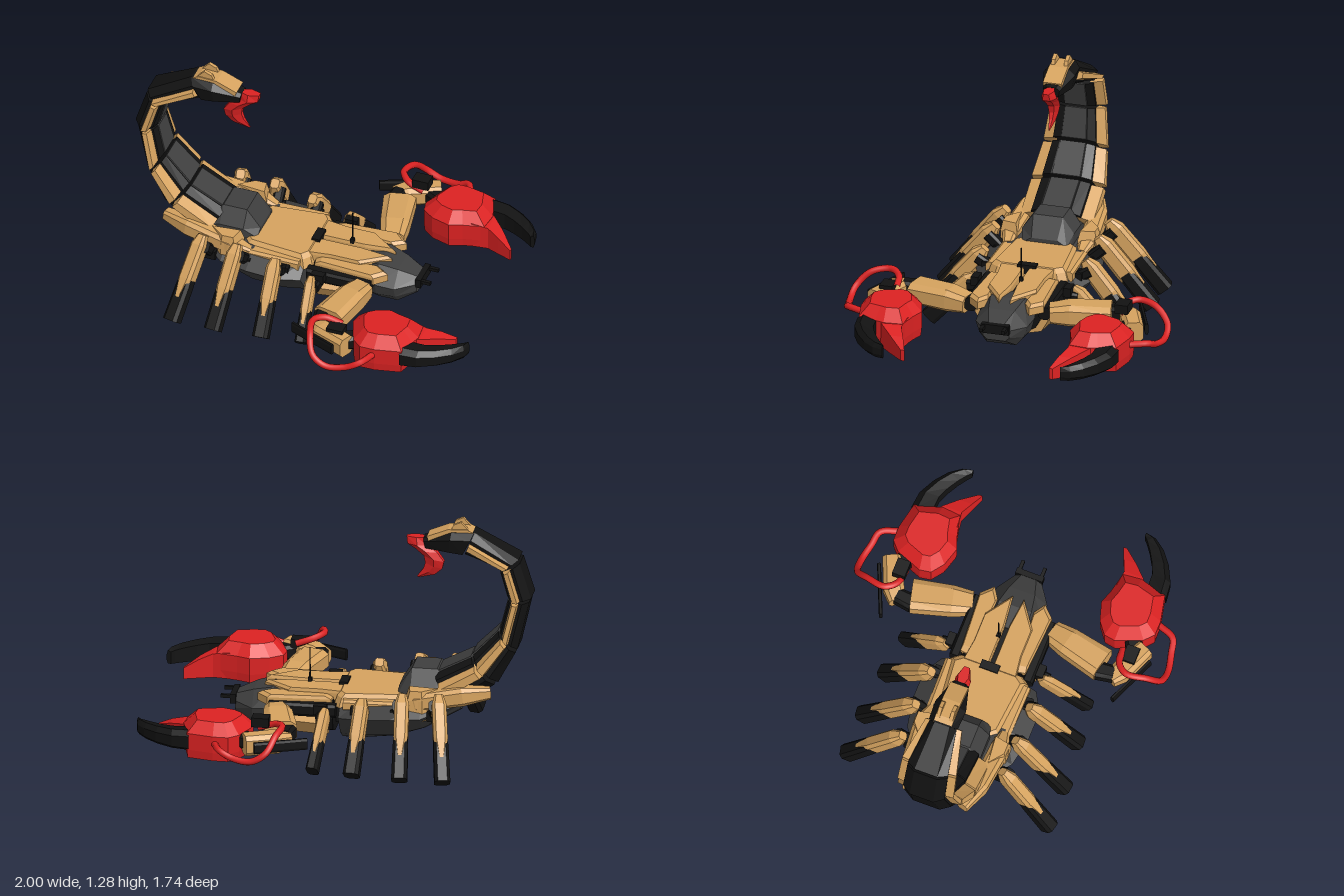
import * as THREE from 'three';

const mat = (name, color) => Object.assign(new THREE.MeshStandardMaterial({ color }), { name });
const V = (x, y, z) => new THREE.Vector3(x, y, z);

// Closed faceted solid through rings of equal point count, wound outward
function loft(rings) {
  const tris = [], n = rings[0].length;
  for (let r = 0; r + 1 < rings.length; r++) {
    for (let i = 0; i < n; i++) {
      const j = (i + 1) % n, a = rings[r], b = rings[r + 1];
      tris.push([a[i], a[j], b[j]], [a[i], b[j], b[i]]);
    }
  }
  const cap = (ring, flip) => {
    const c = ring.reduce((s, p) => s.add(p), V(0, 0, 0)).divideScalar(n);
    ring.forEach((p, i) => tris.push(flip ? [c, ring[(i + 1) % n], p] : [c, p, ring[(i + 1) % n]]));
  };
  cap(rings[0], true);
  cap(rings[rings.length - 1], false);
  const volume = tris.reduce((s, [a, b, c]) => s + a.dot(b.clone().cross(c)), 0);
  const pos = [];
  for (const [a, b, c] of tris) for (const p of volume < 0 ? [a, c, b] : [a, b, c]) pos.push(p.x, p.y, p.z);
  const g = new THREE.BufferGeometry();
  g.setAttribute('position', new THREE.Float32BufferAttribute(pos, 3));
  g.computeVertexNormals();
  return g;
}

// Plan outline [x, z] stacked at levels [y, scale about its middle]
function slab(outline, levels) {
  const n = outline.length;
  const cx = outline.reduce((s, p) => s + p[0], 0) / n, cz = outline.reduce((s, p) => s + p[1], 0) / n;
  return loft(levels.map(([y, k]) => outline.map(([x, z]) => V(cx + (x - cx) * k, y, cz + (z - cz) * k))));
}

// Mirrored half outline [x, z], for plates across the middle
const across = (half, levels) => slab([...half, ...half.map(([x, z]) => [x, -z]).reverse()], levels);

// Hull from stations [x, half section of [z, y]]
const hull = (stations) => loft(stations.map(([x, half]) =>
  [...half, ...half.map(([z, y]) => [-z, y]).reverse()].map(([z, y]) => V(x, y, z))));

// Chamfered beam along [x, y, z, width, height]
function beam(path) {
  const p = path.map((q) => V(q[0], q[1], q[2]));
  return loft(path.map(([, , , w, h], i) => {
    const t = p[Math.min(i + 1, p.length - 1)].clone().sub(p[Math.max(i - 1, 0)]).normalize();
    const side = t.clone().cross(V(0, 1, 0)).normalize(), up = side.clone().cross(t);
    return [[-1, -.6], [-.6, -1], [.6, -1], [1, -.6], [1, .6], [.6, 1], [-.6, 1], [-1, .6]].map(([a, b]) =>
      p[i].clone().addScaledVector(side, a * w / 2).addScaledVector(up, b * h / 2));
  }));
}

// Side outline [x, y] between two z planes
const plate = (pts, z0, z1) => loft([z0, z1].map((z) => pts.map(([x, y]) => V(x, y, z))));

export function createModel() {
  const root = new THREE.Group();
  root.name = 'scorpionMachine';
  const tan = mat('tan armour', 0xd6a35f), black = mat('black', 0x121212);
  const grey = mat('dark grey', 0x3f3f3f), red = mat('red', 0xdc2222);
  const add = (parent, name, geo, m) => {
    const mesh = new THREE.Mesh(geo, m);
    mesh.name = name;
    parent.add(mesh);
    return mesh;
  };
  const box = (parent, name, m, w, h, d, x, y, z) =>
    add(parent, name, new THREE.BoxGeometry(w, h, d), m).position.set(x, y, z);

  // Abdomen and front hull
  add(root, 'abdomen', hull([
    [-.64, [[.07, .27], [.12, .29], [.14, .32], [.1, .35]]],
    [-.45, [[.1, .165], [.2, .2], [.29, .28], [.2, .35]]],
    [-.3, [[.12, .12], [.22, .16], [.32, .28], [.2, .34]]],
    [-.13, [[.12, .1], [.22, .15], [.32, .27], [.2, .33]]],
    [-.02, [[.1, .09], [.18, .14], [.26, .25], [.18, .32]]]]), grey);
  add(root, 'chest', hull([
    [.02, [[.1, .12], [.17, .15], [.19, .22], [.16, .31]]],
    [.28, [[.08, .12], [.13, .15], [.17, .22], [.13, .31]]]]), black);
  add(root, 'head', hull([
    [.23, [[.06, .13], [.1, .17], [.12, .24], [.09, .32]]],
    [.35, [[.08, .12], [.13, .17], [.15, .24], [.09, .335]]],
    [.45, [[.08, .12], [.12, .17], [.14, .23], [.07, .31]]],
    [.55, [[.05, .18], [.07, .2], [.07, .24], [.04, .27]]]]), grey);
  box(root, 'spineJoint', black, .1, .12, .16, 0, .22, 0);
  box(root, 'mouthBar', black, .03, .05, .15, .56, .25, 0);

  // Top armour
  add(root, 'rearCarapace', across([[-.4, .1], [-.34, .17], [-.03, .2], [.0, .16]], [[.29, 1.08], [.34, 1], [.36, .9]]), tan);
  for (const s of [1, -1]) {
    add(root, 'frontCarapace', slab([[-.22, .07], [-.2, .13], [-.05, .15], [.1, .13], [.26, .13], [.4, .03], [.24, .012], [-.03, .012]]
      .map(([x, z]) => [x, z * s]), [[.3, 1], [.34, 1], [.355, .93]]), tan);
  }
  box(root, 'carapaceLatch', black, .045, .05, .1, -.015, .345, 0);
  add(root, 'hump', hull([
    [-.57, [[.13, .3], [.14, .38], [.07, .43]]], [-.51, [[.14, .3], [.14, .4], [.08, .485]]],
    [-.38, [[.14, .3], [.14, .4], [.08, .485]]], [-.31, [[.13, .3], [.12, .35], [.07, .38]]]]), grey);
  const antenna = add(root, 'antenna', new THREE.CylinderGeometry(.003, .005, .2, 6), black);
  antenna.position.set(.165, .44, -.02);
  box(root, 'antennaBase', black, .02, .03, .02, .165, .36, -.02);

  // Tail: each joint is [outer x, y, inner x, y, half width]
  const section = (c, pts) => pts.map(([d, z]) => V(c[0] + (c[2] - c[0]) * d, c[1] + (c[3] - c[1]) * d, z * c[4]));
  const segs = [
    [[-.62, .28, -.5, .46, .2], [-.81, .42, -.69, .56, .2]],
    [[-.83, .435, -.7, .575, .2], [-.92, .6, -.83, .71, .175]],
    [[-.93, .62, -.84, .725, .175], [-.99, .88, -.88, .885, .15]],
    [[-1, .9, -.88, .9, .155], [-.94, 1.09, -.84, 1.04, .15]],
    [[-.935, 1.11, -.835, 1.06, .15], [-.7, 1.24, -.65, 1.12, .1]]];
  segs.forEach((ends) => {
    const part = (name, pts, m) => add(tail, name, loft(ends.map((c) => section(c, pts))), m);
    const tail = new THREE.Group();
    tail.name = 'tailSegment';
    root.add(tail);
    const core = [[0, .42], [.3, .74], [.9, .66], [1, .42]];
    part('tailCore', [...core, ...core.map(([d, z]) => [d, -z]).reverse()], black);
    part('tailInnerPlate', [[.97, .4], [1.04, .38], [1.04, -.38], [.97, -.4]], grey);
    for (const s of [1, -1]) part('tailSidePlate', [[.42, .6 * s], [.5, s], [.72, .98 * s], [.85, .55 * s]], tan);
  });
  // Tail head
  add(root, 'tailHead', loft([
    [-.7, 1.24, -.64, 1.12, .08], [-.58, 1.235, -.57, 1.13, .085], [-.43, 1.19, -.44, 1.135, .045]]
    .map((c) => section(c, [[0, .6], [.3, 1], [1, .8], [1, -.8], [.3, -1], [0, -.6]]))), black);
  add(root, 'tailHeadCover', plate([[-.7, 1.235], [-.66, 1.255], [-.56, 1.25], [-.45, 1.205], [-.46, 1.18]], -.05, .05), tan);
  for (const z of [-.035, .035])
    add(root, 'tailHeadFin', plate([[-.68, 1.24], [-.63, 1.292], [-.59, 1.275], [-.57, 1.23]], z - .01, z + .01), tan);
  add(root, 'stinger', loft([
    [-.45, 1.188, -.34, 1.188, .03], [-.45, 1.145, -.345, 1.15, .042], [-.5, 1.105, -.385, 1.125, .04],
    [-.535, 1.055, -.43, 1.085, .034], [-.525, 1.015, -.437, 1.045, .026], [-.485, .98, -.425, 1.01, .018],
    [-.4, .958, -.392, .965, .004]].map((c) => section(c, [[0, .4], [.5, 1], [1, .5], [1, -.5], [.5, -1], [0, -.4]]))), red);

  for (const s of [1, -1]) {
    const half = new THREE.Group();
    half.name = s > 0 ? 'nearSide' : 'farSide';
    half.scale.z = s;
    root.add(half);

    // Legs: top x, foot x, top y, top z, foot z
    for (const [x0, x1, y, z0, z1] of [[-.55, -.615, .41, .28, .56], [-.36, -.39, .4, .28, .56],
      [-.15, -.135, .36, .275, .535], [.045, .075, .29, .265, .505]]) {
      const leg = new THREE.Group();
      leg.name = 'leg';
      half.add(leg);
      const at = (k, w, h) => [x0 + (x1 - x0) * k, y + (.045 - y) * k, z0 + (z1 - z0) * k, w, h];
      const w = x0 > 0 ? .055 : .075;
      add(leg, 'legArmour', beam([at(-.02, w * .6, .05), at(.1, w, .095), at(.5, w, .1), at(.75, w * .35, .085)]), tan);
      add(leg, 'lowerLeg', beam([at(.4, w * .9, .08), at(.6, w * 1.05, .085), at(1, w * 1.1, .09)]), black);
      add(leg, 'hip', beam([[x0 + .03, .26, .2, .05, .06], [x0 + .02, y - .04, z0 + .03, .055, .06]]), black);
      box(leg, 'hipBolt', black, .07, .05, .04, x0 + .03, .29, .25);
    }

    // Flank armour
    add(half, 'tailRootArmour', beam([[-.8, .4, .15, .06, .06], [-.66, .39, .19, .09, .1], [-.42, .35, .21, .1, .09], [-.32, .32, .2, .05, .05]]), tan);
    add(half, 'flankArmour', slab([[-.56, .18], [-.46, .26], [-.38, .26], [-.36, .16]], [[.26, 1], [.37, .95], [.42, .75]]), tan);
    add(half, 'sideArmour', beam([[-.36, .31, .19, .08, .06], [-.04, .31, .2, .07, .06]]), tan);
    add(half, 'sideRail', beam([[.0, .27, .2, .06, .07], [.35, .27, .2, .06, .07]]), black);
    add(half, 'shoulderArmour', slab([[.02, .12], [.03, .18], [.36, .2], [.42, .14], [.36, .1]], [[.28, 1], [.32, 1], [.335, .85]]), tan);
    add(half, 'lowerCheek', hull([[.04, [[.1, .13], [.12, .12]]], [.3, [[.1, .15], [.12, .12]]]]).scale(1, 1, .01), black);
    add(half, 'bellyArmour', loft([[.05, 0], [.27, -.03]].map(([x, dz]) =>
      [[.11, .11], [.19, .13], [.23, .2], [.2, .23], [.13, .2]].map(([z, y]) => V(x, y, z + dz)))), tan);
    box(half, 'mandible', black, .08, .018, .018, .585, .26, .06);

    // Arm
    add(half, 'upperArm', beam([[.31, .26, .22, .12, .09], [.285, .265, .32, .15, .12], [.235, .265, .53, .17, .11]]), tan);
    add(half, 'elbow', beam([[.2, .26, .51, .09, .08], [.21, .26, .6, .08, .08]]), black);
    add(half, 'forearm', beam([[.18, .25, .59, .08, .08], [.24, .25, .63, .11, .11], [.4, .25, .7, .1, .11]]), tan);
    add(half, 'forearmRail', beam([[.08, .25, .64, .02, .06], [.34, .25, .75, .02, .06]]), black);
    box(half, 'wristBox', black, .09, .05, .07, .325, s < 0 ? .355 : .3, s < 0 ? .62 : .65);
    add(half, 'wrist', beam([[.36, .25, .66, .09, .08], [.47, .25, .6, .09, .08]]), black);
    const hose = [[.34, .31, .6], [.25, .34, .615], [.205, .35, .67], [.225, .33, .77], [.265, .26, .84],
      [.34, .215, .85], [.44, .22, .83], [.51, .25, .81], [.55, .25, .72]].map((p) => V(...p));
    add(half, 'hose', new THREE.TubeGeometry(new THREE.CatmullRomCurve3(hose), 48, .018, 8), red);

    // Claw
    add(half, 'clawPalm', slab([[.375, .54], [.43, .68], [.48, .725], [.56, .725], [.7, .695], [.725, .6], [.74, .55],
      [.73, .45], [.62, .425], [.55, .4], [.45, .43], [.385, .48]], [[.155, .97], [.2, 1], [.29, 1], [.35, .66]]), red);
    add(half, 'fixedFinger', loft([[.66, .44, .62, .155, .3], [.75, .45, .555, .155, .285], [.82, .42, .49, .158, .26], [.895, .39, .41, .16, .22]]
      .map(([x, z0, z1, y0, y1]) => [V(x, y0, z0), V(x, y0, z1), V(x, y1, z1), V(x, y1, z0)])), red);
    add(half, 'movingFinger', loft([[.69, .705, .71, .595], [.78, .695, .79, .59], [.87, .65, .85, .565],
      [.94, .595, .91, .53], [.985, .535, .955, .497], [.997, .48, .975, .478]].map(([x0, z0, x1, z1], i) => {
      const y0 = .19 + i * .003, y1 = .3 - i * .004, m = (a, b, k) => a + (b - a) * k;
      return [V(x0, y0 + .02, z0), V(x0, y1 - .025, z0), V(m(x0, x1, .3), y1, m(z0, z1, .3)),
        V(x1, y1 - .01, z1), V(x1, y0, z1), V(m(x0, x1, .3), y0, m(z0, z1, .3))];
    })), black);
  }

  // Set on the ground and centre
  const b = new THREE.Box3().setFromObject(root), c = b.getCenter(V(0, 0, 0));
  root.position.set(-c.x, -b.min.y, -c.z);
  return root;
}
